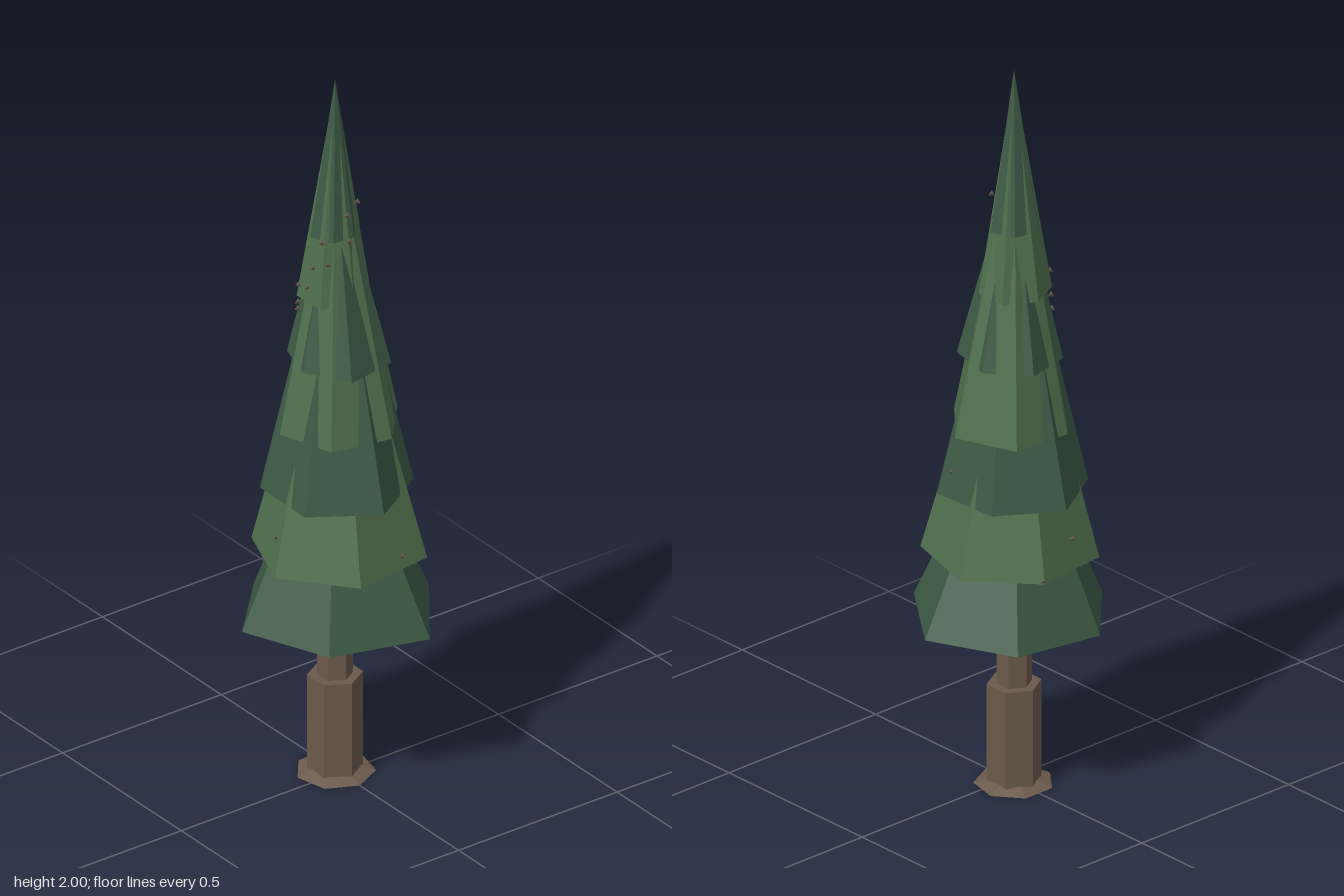
import * as THREE from 'three';

const AXIS_X = -0.02; // the trunk stands slightly off centre

const material = (color, side = THREE.FrontSide) =>
  new THREE.MeshStandardMaterial({ color, flatShading: true, side });

// Open six-sided cone with an uneven rim
function unevenCone(radii, startDeg, height) {
  const rim = radii.map((r, i) => {
    const a = THREE.MathUtils.degToRad(startDeg + i * 60);
    return [r * Math.cos(a), 0, r * Math.sin(a)];
  });
  const positions = [];
  rim.forEach((p, i) => positions.push(...p, 0, height, 0, ...rim[(i + 1) % rim.length]));
  const geometry = new THREE.BufferGeometry();
  geometry.setAttribute('position', new THREE.Float32BufferAttribute(positions, 3));
  geometry.computeVertexNormals();
  return geometry;
}

export function createModel() {
  const tree = new THREE.Group();
  tree.name = 'pineTree';

  const bark = material(0x6b5a4c);
  const darkNeedles = material(0x3d5a45, THREE.DoubleSide);
  const lightNeedles = material(0x50704e, THREE.DoubleSide);
  const coneBrown = material(0x7a665a);

  // Trunk: flared foot, thick lower log, thin upper log
  const addTrunk = (name, rTop, rBottom, y0, y1, sides) => {
    const geometry = new THREE.CylinderGeometry(rTop, rBottom, y1 - y0, sides);
    geometry.rotateY(Math.PI / 2);
    const mesh = new THREE.Mesh(geometry, bark);
    mesh.name = name;
    mesh.position.set(AXIS_X, (y0 + y1) / 2, 0);
    tree.add(mesh);
  };
  addTrunk('trunkFoot', 0.065, 0.104, 0, 0.014, 7);
  addTrunk('lowerTrunk', 0.071, 0.071, 0, 0.28, 6);
  addTrunk('upperTrunk', 0.046, 0.046, 0.28, 0.75, 6);

  // Foliage tiers, each turned 20 degrees from the one below
  const tiers = [
    { y: 0.465, h: 0.62, start: 40, r: [0.252, 0.263, 0.245, 0.241, 0.266, 0.286] },
    { y: 0.645, h: 0.88, start: 20, r: [0.226, 0.223, 0.217, 0.204, 0.218, 0.239] },
    { y: 0.83, h: 0.86, start: 0, r: [0.207, 0.194, 0.191, 0.196, 0.186, 0.2] },
    { y: 1.01, h: 0.82, start: 40, r: [0.165, 0.156, 0.152, 0.175, 0.176, 0.171] },
    { y: 1.197, h: 0.56, start: 20, r: [0.146, 0.118, 0.125, 0.132, 0.131, 0.146] },
    { y: 1.38, h: 0.6, start: 0, r: [0.082, 0.095, 0.098, 0.092, 0.097, 0.091] },
    { y: 1.56, h: 0.44, start: 40, r: [0.066, 0.07, 0.07, 0.068, 0.07, 0.057] },
  ];
  tiers.forEach(({ y, h, start, r }, i) => {
    const mesh = new THREE.Mesh(unevenCone(r, start, h), i % 2 ? lightNeedles : darkNeedles);
    mesh.name = `foliageTier${i + 1}`;
    mesh.position.set(AXIS_X, y, 0);
    tree.add(mesh);
  });

  // Tiny pine cones scattered over the branches
  const coneSpots = [
    [0.125, 0.445, -0.105], [-0.02, 0.735, 0.186], [-0.2, 0.735, 0.037], [0.15, 0.765, 0.005],
    [0.17, 0.68, -0.07], [-0.22, 0.66, -0.08], [-0.03, 0.885, -0.15], [0.04, 0.9, -0.155],
    [-0.09, 1.18, 0.07], [0.09, 1.18, -0.05], [-0.085, 1.33, 0.07], [-0.07, 1.36, 0.08],
    [-0.055, 1.42, 0.09], [-0.028, 1.42, 0.08], [-0.015, 1.48, 0.073], [-0.045, 1.525, 0.06],
    [0.01, 1.56, 0.065], [0.045, 1.56, 0.003], [0.035, 1.63, 0.002], [0.02, 1.65, -0.04],
    [0, 1.6, -0.05], [0.03, 1.36, -0.05], [0.06, 1.36, -0.035], [0.025, 1.5, 0.055],
  ];
  const coneGeometry = new THREE.TetrahedronGeometry(0.01);
  const pineCones = new THREE.Group();
  pineCones.name = 'pineCones';
  coneSpots.forEach(([x, y, z]) => {
    const mesh = new THREE.Mesh(coneGeometry, coneBrown);
    mesh.name = 'pineCone';
    mesh.position.set(x, y, z);
    pineCones.add(mesh);
  });
  tree.add(pineCones);

  return tree;
}
